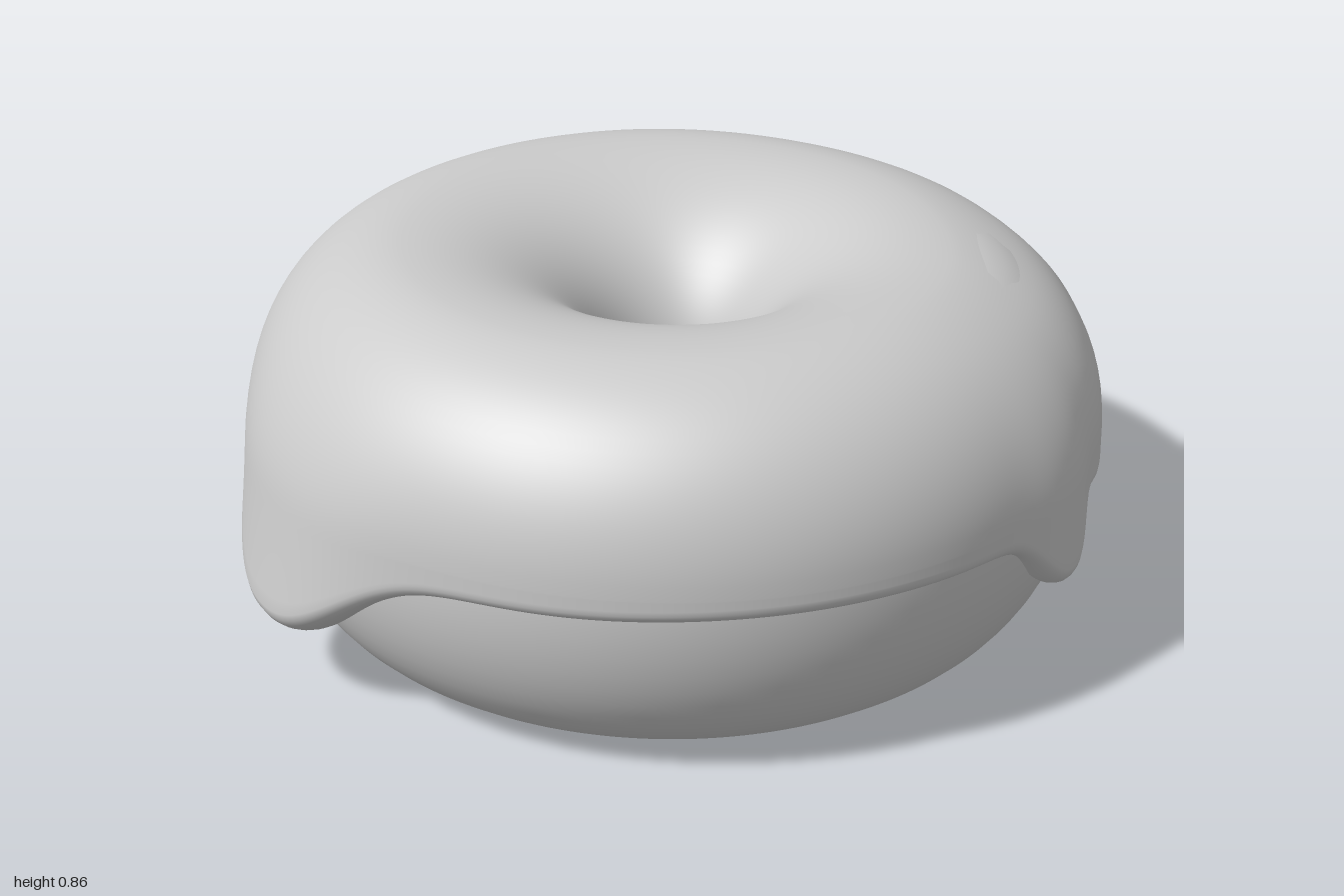
import * as THREE from 'three';

const CX = 0.01, CZ = -0.02;      // centre of the ring
const RC = 0.6;                   // radius of the ring's crest
const SEG = 320;
const rad = THREE.MathUtils.degToRad;

// Runs and dips of the icing: azimuth from the front, depth, width, bulge
const runs = [
  { at: -6, depth: 0.24, width: 0.22, bulge: 0.078 },
  { at: -66.5, depth: 0.08, width: 0.06, bulge: 0.015 },
  { at: -115, depth: 0.21, width: 0.125, bulge: 0.035 },
  { at: -164, depth: 0.045, width: 0.09, bulge: 0.01 },
  { at: 162.5, depth: 0.14, width: 0.09, bulge: 0.045 },
  { at: 129, depth: 0.03, width: 0.07, bulge: 0.005 },
  { at: 112.5, depth: 0.145, width: 0.095, bulge: 0.036 },
];

function bell(theta, deg, width) {
  const d = theta - rad(deg);
  const w = Math.abs(Math.atan2(Math.sin(d), Math.cos(d))) / width;
  return Math.exp(-0.5 * Math.pow(w, 2.3));
}

const sumRuns = (theta, key) => runs.reduce((s, r) => s + r[key] * bell(theta, r.at, r.width), 0);

// Sweeps section(theta) -> [[radius, y], ...] around the ring
function ring(section) {
  const pos = [], index = [];
  let rows = 0;
  for (let i = 0; i < SEG; i++) {
    const theta = (i / SEG) * Math.PI * 2;
    const pts = section(theta);
    rows = pts.length;
    for (const [r, y] of pts) pos.push(CX + r * Math.sin(theta), y, CZ + r * Math.cos(theta));
  }
  for (let i = 0; i < SEG; i++) {
    for (let j = 0; j < rows - 1; j++) {
      const a = i * rows + j, b = ((i + 1) % SEG) * rows + j;
      index.push(a, a + 1, b, b, a + 1, b + 1);
    }
  }
  const g = new THREE.BufferGeometry();
  g.setAttribute('position', new THREE.Float32BufferAttribute(pos, 3));
  g.setIndex(index);
  g.computeVertexNormals();
  return g;
}

// Dough: full outer shoulder, wider funnel towards the hole
const doughOuter = (c) => RC + 0.32 * Math.pow(Math.max(c, 0), 0.85);
const doughRadiusAt = (y) => doughOuter(Math.sqrt(Math.max(0, 1 - ((y - 0.41) / 0.41) ** 2)));

function doughSection() {
  const pts = [];
  for (let j = 0; j <= 56; j++) {
    const a = Math.PI - (j / 56) * Math.PI * 2;
    const c = Math.cos(a);
    pts.push([c > 0 ? doughOuter(c) : RC + 0.45 * c, 0.41 + 0.41 * Math.sin(a)]);
  }
  return pts;
}

// Icing: from inside the hole, over the crest, down to a rounded uneven lip
function icingSection(theta) {
  const pts = [[0.17, 0.36], [0.145, 0.37]];
  const bulge = sumRuns(theta, 'bulge');
  const edge = 0.404 - sumRuns(theta, 'depth') + 0.012 * bell(theta, 70, 0.4);
  const outer = 0.345 + 0.012 * bell(theta, 180, 0.35) + 0.02 * bell(theta, -88, 0.5);
  const slump = 0.035 * bell(theta, 138, 0.42) + 0.018 * bell(theta, 180, 0.6);
  const yc = 0.47;
  const lip = 0.03 + 0.4 * bulge;
  const low = edge + lip;
  // the runs swell gradually from the shoulder down
  const swell = (y) => bulge * Math.pow(THREE.MathUtils.clamp((0.78 - y) / (0.78 - low), 0, 1), 1.3);
  for (let j = 0; j <= 40; j++) {
    const a = Math.PI * (1 - j / 40), c = Math.cos(a);
    // the crest slumps towards the outside only
    const height = 0.385 - slump * THREE.MathUtils.smoothstep(c, -0.6, 0.5);
    const y = yc + height * Math.sin(a);
    pts.push([RC + (c > 0 ? (outer + swell(y)) * c : 0.465 * c), y]);
  }
  for (let j = 1; j <= 8; j++) {
    const y = yc + (low - yc) * (j / 8);
    pts.push([RC + outer + swell(y), y]);
  }
  // rolled lip
  const end = RC + outer + bulge;
  const half = (end - doughRadiusAt(edge) + 0.03) / 2;
  for (let j = 1; j <= 10; j++) {
    const u = (j / 10) * Math.PI * 0.85;
    pts.push([end - half + half * Math.cos(u), low - lip * Math.sin(u)]);
  }
  return pts;
}

// Long hanging drip with a swollen tip, its top leaning into the icing
function dripGeometry(x, z, tip, bulb, neck) {
  const top = 0.52, y0 = tip + bulb, pts = [];
  for (let j = 0; j <= 8; j++) {
    const u = (j / 8) * Math.PI / 2;
    pts.push(new THREE.Vector2(bulb * Math.sin(u), tip + bulb * (1 - Math.cos(u))));
  }
  for (let j = 1; j <= 14; j++) {
    const t = j / 14;
    const r = bulb + (neck - bulb) * THREE.MathUtils.smoothstep(t, 0, 0.6);
    pts.push(new THREE.Vector2(r, y0 + (top - y0) * t));
  }
  pts.push(new THREE.Vector2(0, top + 0.02));
  const g = new THREE.LatheGeometry(pts, 28);
  const p = g.attributes.position;
  const out = new THREE.Vector2(x - CX, z - CZ).normalize();
  for (let i = 0; i < p.count; i++) {
    const y = p.getY(i);
    const lean = 0.9 * Math.max(0, y - 0.25) ** 2;
    p.setXYZ(i, x + p.getX(i) - out.x * lean, y, z + p.getZ(i) - out.y * lean);
  }
  return g;
}

export function createModel() {
  const group = new THREE.Group();
  const material = new THREE.MeshStandardMaterial({ color: 0xcccccc });
  const add = (name, geometry) => {
    const mesh = new THREE.Mesh(geometry, material);
    mesh.name = name;
    group.add(mesh);
    return mesh;
  };
  add('dough', ring(doughSection)).position.z = 0.012;
  add('icing', ring(icingSection));
  add('sideDrip', dripGeometry(-0.843, 0.36, 0.06, 0.072, 0.05));
  add('backDrip', dripGeometry(0.29, -0.913, 0.04, 0.085, 0.078));
  return group;
}
